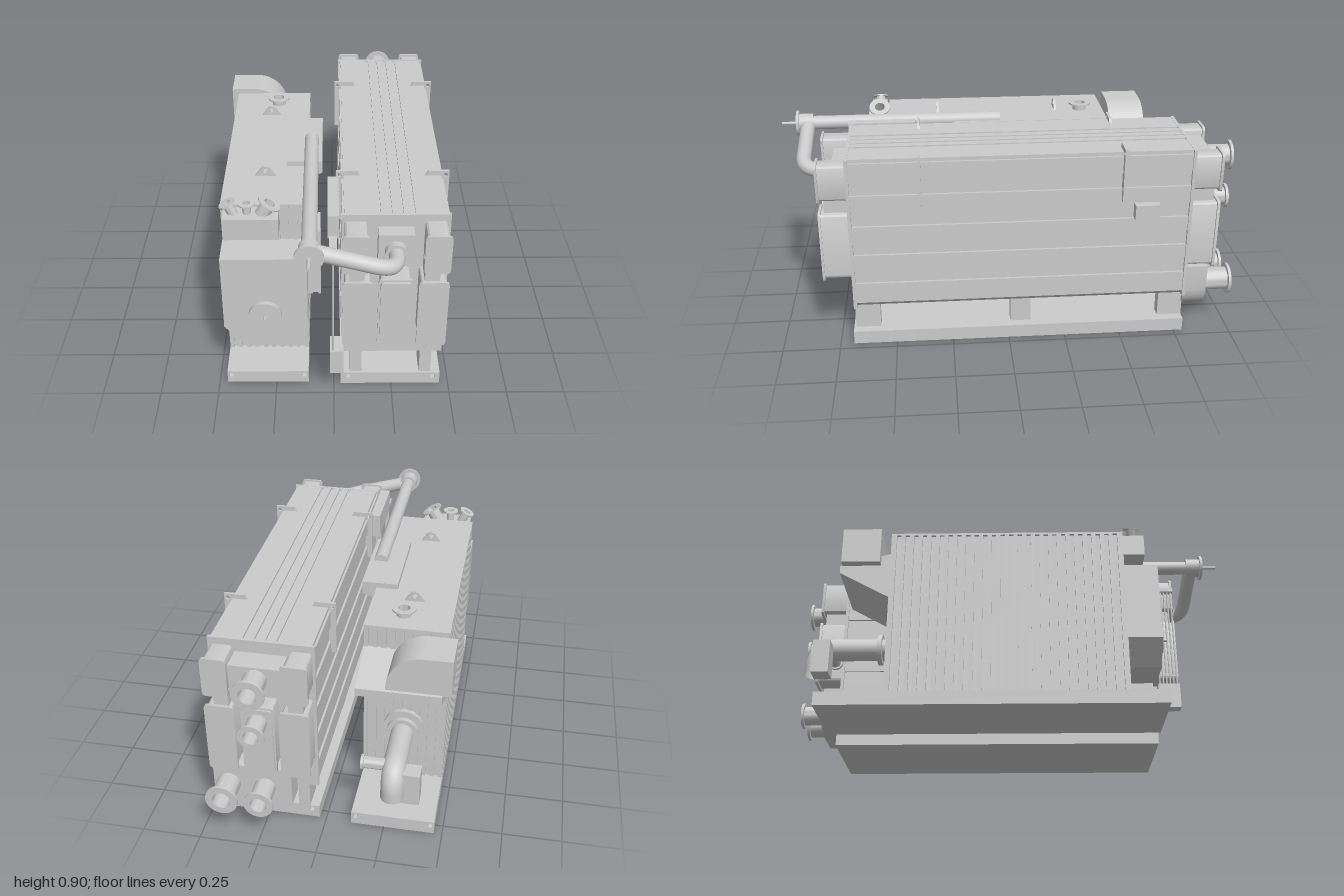
import * as THREE from 'three';
import { mergeVertices, toCreasedNormals } from 'three/addons/utils/BufferGeometryUtils.js';

const V = (x, y, z) => new THREE.Vector3(x, y, z);

export function createModel() {
  const root = new THREE.Group();
  const mat = new THREE.MeshStandardMaterial({ color: 0xcccccc });
  const open = new THREE.MeshStandardMaterial({ color: 0xcccccc, side: THREE.DoubleSide });
  let target = root;

  const group = (name) => {
    target = new THREE.Group();
    target.name = name;
    root.add(target);
  };
  const add = (name, geo, m = mat) => {
    const mesh = new THREE.Mesh(geo, m);
    mesh.name = name;
    target.add(mesh);
    return mesh;
  };
  // Box from its limits on each axis
  const box = (name, x0, x1, y0, y1, z0, z1) =>
    add(name, new THREE.BoxGeometry(x1 - x0, y1 - y0, z1 - z0)).position.set((x0 + x1) / 2, (y0 + y1) / 2, (z0 + z1) / 2);
  const along = (mesh, a, b) => {
    mesh.position.copy(a);
    mesh.quaternion.setFromUnitVectors(V(0, 1, 0), b.clone().sub(a).normalize());
  };
  // Solid round bar from a to b
  const rod = (name, a, b, r, sides = 32) => {
    const len = a.distanceTo(b);
    along(add(name, new THREE.CylinderGeometry(r, r, len, sides).translate(0, len / 2, 0)), a, b);
  };
  // Open pipe stub with a flange at its end b
  const nozzle = (name, a, b, r, R, t = 0.012) => {
    const len = a.distanceTo(b);
    const pts = [[r, 0], [r, len - t], [R, len - t], [R, len], [r * 0.78, len], [r * 0.78, 0]].map((p) => new THREE.Vector2(...p));
    along(add(name, toCreasedNormals(new THREE.LatheGeometry(pts, 32), 0.6), open), a, b);
  };
  // Outline in x and y, extruded along z
  const prism = (name, shape, z0, z1) =>
    add(name, toCreasedNormals(new THREE.ExtrudeGeometry(shape, { depth: z1 - z0, bevelEnabled: false, curveSegments: 12 }).translate(0, 0, z0), 0.5));
  const poly = (pts) => new THREE.Shape(pts.map((p) => new THREE.Vector2(...p)));
  const rect = (x0, x1, y0, y1) => poly([[x0, y0], [x1, y0], [x1, y1], [x0, y1]]);
  // Rectangle with rounded corners
  const rounded = (x0, x1, y0, y1, r = 0.015) => {
    const s = new THREE.Shape();
    s.absarc(x1 - r, y0 + r, r, -Math.PI / 2, 0);
    s.absarc(x1 - r, y1 - r, r, 0, Math.PI / 2);
    s.absarc(x0 + r, y1 - r, r, Math.PI / 2, Math.PI);
    s.absarc(x0 + r, y0 + r, r, Math.PI, Math.PI * 1.5);
    return s;
  };
  // Skid with two lifting slots running through it
  const skid = (x0, x1, z0, z1, slots) => {
    const s = rect(x0, x1, 0, 0.06);
    for (const x of slots) s.holes.push(rect(x - 0.008, x + 0.008, 0.03, 0.05));
    prism('skid', s, z0, z1);
  };
  const pipe = (name, curve, r) => add(name, new THREE.TubeGeometry(curve, 48, r, 28), open);

  // ---------- Ribbed tank ----------
  group('ribbedTank');
  skid(-0.465, -0.11, -0.8, 0.68, [-0.448, -0.127]);
  box('tankBody', -0.453, -0.122, 0.06, 0.815, -0.5, 0.51);
  box('tankRoof', -0.465, -0.11, 0.812, 0.822, -0.51, 0.52);
  for (let i = 0; i < 27; i++) {
    const z = -0.505 + i * 0.0385;
    for (const x of [-0.465, -0.122]) box('sideRib', x, x + 0.012, 0.06, 0.812, z, z + 0.019);
  }
  for (let i = 0; i < 10; i++) {
    const x = -0.463 + i * 0.0372;
    for (const z of [-0.51, 0.508]) box('endRib', x, x + 0.017, 0.06, 0.812, z, z + 0.012);
  }
  // Front cover with its hub
  prism('frontCover', poly([[-0.465, 0.3], [-0.375, 0.2], [-0.2, 0.2], [-0.11, 0.3], [-0.11, 0.65], [-0.465, 0.65]]), 0.515, 0.665);
  rod('hubDisc', V(-0.288, 0.367, 0.66), V(-0.288, 0.367, 0.685), 0.07, 48);
  rod('hubStem', V(-0.288, 0.367, 0.68), V(-0.288, 0.367, 0.71), 0.006, 12);
  // Nozzle box above the cover
  box('nozzleBox', -0.45, -0.224, 0.712, 0.81, 0.515, 0.615);
  nozzle('frontNozzle', V(-0.405, 0.8, 0.56), V(-0.433, 0.857, 0.56), 0.021, 0.036, 0.006);
  nozzle('frontNozzle', V(-0.352, 0.8, 0.56), V(-0.352, 0.857, 0.56), 0.018, 0.036, 0.006);
  nozzle('frontNozzle', V(-0.292, 0.8, 0.56), V(-0.258, 0.857, 0.56), 0.03, 0.049, 0.006);
  // Roof fittings
  nozzle('roofNozzle', V(-0.26, 0.815, -0.4), V(-0.26, 0.855, -0.4), 0.032, 0.051, 0.007);
  for (const z of [-0.28, 0.285]) {
    const s = new THREE.Shape();
    s.moveTo(-0.335, 0.82);
    s.lineTo(-0.245, 0.82);
    s.lineTo(-0.27, 0.856);
    s.absarc(-0.29, 0.846, 0.021, 0.45, Math.PI - 0.45);
    const h = new THREE.Path();
    h.absarc(-0.29, 0.846, 0.01, 0, Math.PI * 2);
    s.holes.push(h);
    prism('liftingEye', s, z - 0.006, z + 0.006);
  }
  prism('headerBox', poly([[-0.203, 0.82], [-0.112, 0.82], [-0.112, 0.765], [-0.047, 0.788], [-0.047, 0.845], [-0.203, 0.845]]), -0.2, 0.21);
  for (const [x0, x1, d] of [[-0.112, -0.09, 0], [-0.09, -0.066, 0.006], [-0.066, -0.055, 0]])
    box('sideCabinet', x0, x1, 0.365 + d, 0.688 - d, 0.37, 0.52);

  // ---------- Rear duct and elbow of the tank ----------
  group('rearDuct');
  const hood = new THREE.Shape();
  hood.moveTo(-0.5, 0.66);
  hood.lineTo(-0.235, 0.66);
  hood.absarc(-0.385, 0.675, 0.15, 0, Math.PI / 2);
  hood.lineTo(-0.5, 0.825);
  prism('curvedHood', hood, -0.72, -0.55);
  const wedge = poly([[0.505, 0.72], [0.505, 0.5], [0.73, 0.625], [0.73, 0.66]]);
  const w = add('ductTransition', new THREE.ExtrudeGeometry(wedge, { depth: 0.35, bevelEnabled: false }));
  w.rotation.y = Math.PI / 2;
  w.scale.x = 1;
  w.position.set(-0.463, 0, 0);
  // Shape x becomes -z after the turn, depth becomes +x
  for (const [z, r] of [[-0.505, 0.085], [-0.545, 0.068]]) rod('elbowFlange', V(-0.288, 0.33, z), V(-0.288, 0.33, z - 0.02), r);
  const bend = new THREE.CurvePath();
  bend.add(new THREE.LineCurve3(V(-0.288, 0.33, -0.5), V(-0.288, 0.33, -0.75)));
  bend.add(new THREE.QuadraticBezierCurve3(V(-0.288, 0.33, -0.75), V(-0.288, 0.33, -0.835), V(-0.288, 0.245, -0.835)));
  bend.add(new THREE.LineCurve3(V(-0.288, 0.245, -0.835), V(-0.288, 0.21, -0.835)));
  pipe('elbowPipe', bend, 0.048);
  nozzle('elbowBranch', V(-0.27, 0.33, -0.78), V(-0.15, 0.33, -0.78), 0.025, 0.033);
  box('elbowBracket', -0.4, -0.315, 0.18, 0.33, -0.835, -0.76);

  // ---------- Long shell ----------
  group('longShell');
  skid(0.03, 0.462, -0.79, 0.69, [0.063, 0.432]);
  for (const [z0, z1] of [[0.57, 0.68], [-0.1, -0.01], [-0.79, -0.68]])
    for (const x of [0.07, 0.37]) box('leg', x, x + 0.05, 0.05, 0.19, z0, z1);
  prism('shellBody', poly([[0.058, 0.18], [0.432, 0.18], [0.449, 0.2], [0.449, 0.867], [0.041, 0.867], [0.041, 0.2]]), -0.78, 0.675);
  for (const z of [-0.79, 0.668]) prism('endPlate', rect(0.03, 0.462, 0.178, 0.877), z, z + 0.014);
  for (const [y0, y1] of [[0.205, 0.3], [0.37, 0.437], [0.505, 0.572], [0.643, 0.715], [0.785, 0.86]])
    for (const x of [0.032, 0.445]) box('sidePanel', x, x + 0.014, y0, y1, -0.775, 0.67);
  for (const [x0, x1] of [[0.041, 0.17], [0.185, 0.218], [0.23, 0.262], [0.275, 0.308], [0.322, 0.449]])
    box('topPanel', x0, x1, 0.862, 0.876, -0.78, 0.67);
  // Hooked lifting straps on both top edges
  for (const s of [-1, 1])
    for (const z of [-0.485, 0.375]) {
      const c = 0.2465;
      const lug = poly([[0.2, 0.66], [0.237, 0.66], [0.237, 0.897], [0.15, 0.897], [0.135, 0.87], [0.2, 0.87]].map(([x, y]) => [c + s * x, y]));
      const h = new THREE.Path();
      h.absarc(c + s * 0.222, 0.878, 0.009, 0, Math.PI * 2);
      lug.holes.push(h);
      prism('liftingStrap', lug, z - 0.006, z + 0.006);
    }
  box('sideBox', 0.455, 0.498, 0.58, 0.646, -0.64, -0.535);

  // Water boxes at both ends: [x0, x1, y0, y1]
  const covers = [
    [0.033, 0.14, 0.68, 0.855], [0.352, 0.457, 0.68, 0.855],
    [0.033, 0.155, 0.315, 0.635], [0.177, 0.316, 0.305, 0.635], [0.336, 0.457, 0.315, 0.635],
  ];
  covers.forEach((c, i) => {
    const lid = [c[0] + 0.008, c[1] - 0.008, c[2] + 0.01, c[3] - 0.008];
    const out = i === 3 ? 0.02 : 0;
    prism('frontWaterBox', rounded(...lid), 0.675, 0.8);
    prism('frontWaterBoxLid', rounded(...c), 0.795 - out, 0.805 - out);
    prism('rearWaterBox', rounded(...lid), -0.9, -0.78);
    prism('rearWaterBoxLid', rounded(...c), -0.912 + out, -0.9 + out);
  });
  for (const x of [0.06, 0.36])
    for (const [z0, z1] of [[0.675, 0.78], [-0.89, -0.78]]) box('coverLink', x, x + 0.06, 0.62, 0.69, z0, z1);
  box('frontInletBox', 0.174, 0.316, 0.677, 0.822, 0.675, 0.745);
  box('rearOutletBox', 0.14, 0.352, 0.69, 0.822, -0.89, -0.785);
  // Rounded lower water box at the rear
  const sump = new THREE.Shape();
  sump.moveTo(0.122, 0.32);
  sump.lineTo(0.122, 0.14);
  sump.quadraticCurveTo(0.165, 0.104, 0.24, 0.104);
  sump.lineTo(0.37, 0.104);
  sump.quadraticCurveTo(0.44, 0.115, 0.455, 0.2);
  sump.lineTo(0.455, 0.32);
  prism('lowerWaterBox', sump, -0.885, -0.785);
  // Rear pipe connections
  for (const [x, y, r, R] of [[0.245, 0.767, 0.047, 0.066], [0.245, 0.568, 0.04, 0.055], [0.39, 0.222, 0.05, 0.068], [0.235, 0.222, 0.045, 0.062]])
    nozzle('rearNozzle', V(x, y, -0.87), V(x, y, -1), r, R);

  // ---------- Connecting pipework ----------
  group('connectingPipe');
  rod('headerPipe', V(-0.095, 0.845, 0), V(-0.095, 0.845, 0.87), 0.031);
  rod('headerCap', V(-0.095, 0.845, 0.855), V(-0.095, 0.845, 0.92), 0.042);
  rod('headerFlange', V(-0.095, 0.845, 0.918), V(-0.095, 0.845, 0.93), 0.057, 48);
  rod('headerStem', V(-0.095, 0.845, 0.925), V(-0.095, 0.845, 1), 0.007, 12);
  const run = new THREE.CurvePath();
  run.add(new THREE.LineCurve3(V(-0.095, 0.845, 0.88), V(0.15, 0.777, 0.88)));
  run.add(new THREE.CubicBezierCurve3(V(0.15, 0.777, 0.88), V(0.21, 0.76, 0.88), V(0.245, 0.75, 0.86), V(0.245, 0.75, 0.78)));
  run.add(new THREE.LineCurve3(V(0.245, 0.75, 0.78), V(0.245, 0.75, 0.73)));
  pipe('crossPipe', run, 0.032);
  rod('crossPipeFlange', V(0.245, 0.75, 0.74), V(0.245, 0.75, 0.775), 0.045);

  // ---------- Terminal boxes with conduits between the two units ----------
  group('conduitRack');
  box('upperBox', -0.026, 0.02, 0.772, 0.876, 0.39, 0.69);
  box('lowerBox', -0.016, 0.04, 0.16, 0.277, 0.7, 0.8);
  box('conduitHanger', -0.02, 0.012, 0.76, 0.782, 0.4, 0.8);
  for (let i = 0; i < 6; i++) rod('conduit', V(-0.004, 0.27, 0.71 + i * 0.016), V(-0.004, 0.775, 0.71 + i * 0.016), 0.004, 10);

  return root;
}
